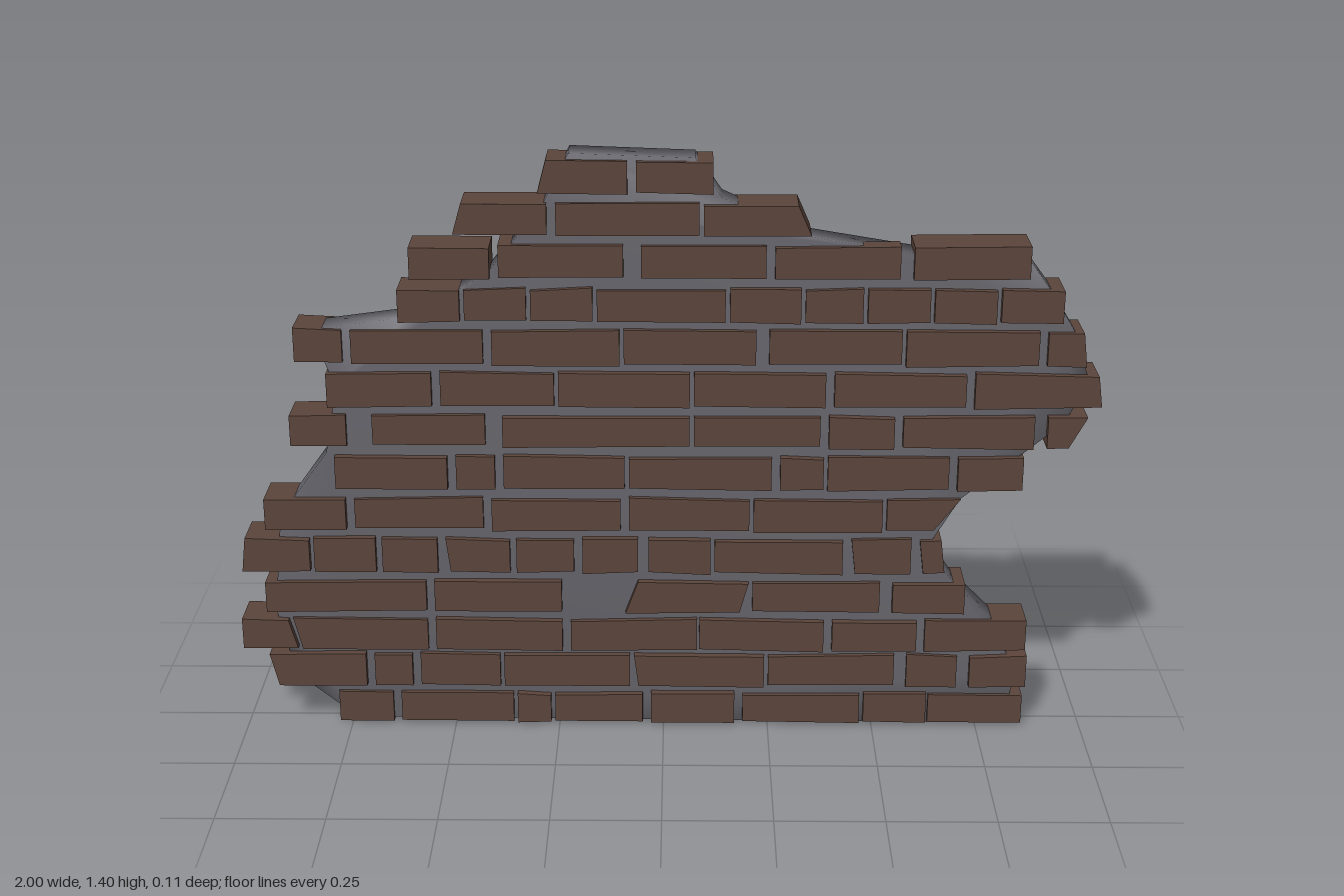
import * as THREE from 'three';
import { mergeVertices } from 'three/addons/utils/BufferGeometryUtils.js';

export function createModel() {
  const wall = new THREE.Group();
  wall.name = 'brokenBrickWall';
  const brickMat = new THREE.MeshStandardMaterial({ color: 0x5c453c });
  brickMat.name = 'brown brick';
  const mortarMat = new THREE.MeshStandardMaterial({ color: 0x66666d });
  mortarMat.name = 'grey mortar';

  // small seeded jitter in the range -1..1
  let seed = 7;
  const jitter = () => {
    seed = (seed * 16807) % 2147483647;
    return (seed / 2147483647) * 2 - 1;
  };

  // mortar core: broken outline with softly shaded surfaces
  const outline = [
    [-0.74, 0.015], [0.82, 0.005], [0.84, 0.14], [0.78, 0.28], [0.68, 0.38], [0.62, 0.47],
    [0.69, 0.59], [0.80, 0.68], [0.92, 0.78], [0.97, 0.88], [0.93, 1.0], [0.87, 1.1],
    [0.81, 1.18], [0.57, 1.18], [0.33, 1.22], [0.13, 1.31], [0.07, 1.4], [-0.21, 1.41],
    [-0.27, 1.29], [-0.4, 1.13], [-0.58, 1.03], [-0.80, 1.0], [-0.75, 0.86], [-0.78, 0.7],
    [-0.86, 0.59], [-0.9, 0.5], [-0.92, 0.3], [-0.88, 0.13]
  ].map(([x, y]) => new THREE.Vector2(x, y));
  let core = new THREE.ExtrudeGeometry(new THREE.Shape(outline), { depth: 0.074, bevelEnabled: false });
  core.translate(0, 0, -0.041);
  core.deleteAttribute('normal');
  core.deleteAttribute('uv');
  core = mergeVertices(core);
  core.clearGroups();
  core.computeVertexNormals();
  const mortar = new THREE.Mesh(core, mortarMat);
  mortar.name = 'mortarCore';
  wall.add(mortar);

  // one brick: slants move the lower corners, half bricks do not reach the back
  function brick(x0, x1, y0, y1, slantL, slantR, half) {
    const front = 0.047 + jitter() * 0.005;
    const back = half ? 0 : -0.054 + jitter() * 0.004;
    const j = [0, 1, 2, 3].map(() => jitter() * 0.004);
    const box = new THREE.BoxGeometry(1, 1, 1);
    const p = box.attributes.position;
    for (let i = 0; i < p.count; i++) {
      const right = p.getX(i) > 0, top = p.getY(i) > 0;
      const x = (right ? x1 : x0) + (top ? 0 : right ? slantR : slantL);
      const y = (top ? y1 : y0) + j[(right ? 1 : 0) + (top ? 2 : 0)];
      p.setXYZ(i, x, Math.max(y, 0), p.getZ(i) > 0 ? front : back);
    }
    const geo = box.toNonIndexed();
    geo.computeVertexNormals();
    const mesh = new THREE.Mesh(geo, brickMat);
    mesh.name = 'brick';
    return mesh;
  }

  // one course: bricks as [left, right, left slant, right slant, half], in hundredths
  let count = 0;
  function course(y0, y1, ...bricks) {
    const group = new THREE.Group();
    group.name = 'brickCourse' + ++count;
    for (const [a, b, l = 0, r = 0, half = 0] of bricks) {
      group.add(brick(a / 100, b / 100, y0, y1, l / 100, r / 100, half));
    }
    wall.add(group);
  }

  course(0.01, 0.085, [-78, -65], [-63, -36], [-35, -27], [-26, -5], [-3, 17], [19, 47], [48, 63], [63.5, 86]);
  course(0.108, 0.188, [-94, -71, 2], [-69, -60], [-58, -39], [-38, -8], [-7, 24, 1], [25, 55], [58, 70], [73, 86.5]);
  course(0.203, 0.28, [-100, -89, 0, 2], [-88, -56, 2], [-54, -24], [-22, 8], [8.5, 38, 0, 0, 1], [40, 60, 0, 0, 1], [62, 86]);
  course(0.302, 0.378, [-94, -56], [-54, -24], [-6, 20, -3, -2], [21, 51], [54, 71]);
  course(0.405, 0.488, [-98, -83, -1], [-82, -67.5], [-66, -53], [-51, -36, 1], [-34.5, -21], [-19, -6], [-3.5, 11],
    [12, 42, 0, 0, 1], [44, 58, 1, 0, 1], [60, 65, 1, 1]);
  course(0.512, 0.59, [-93, -74], [-72, -42], [-40, -10], [-8, 20], [21, 51], [52, 69, 0, -6]);
  course(0.615, 0.695, [-76, -50, 0, 0, 1], [-48, -39], [-37, -9], [-8, 25], [27, 37], [38, 66], [68, 83]);
  course(0.722, 0.797, [-86, -73], [-67, -41, 0, 0, 1], [-37, 6], [7, 36], [38, 53], [55, 85], [88, 97, 0, -4]);
  course(0.82, 0.9, [-77, -53], [-51, -25], [-24, 6], [7, 37], [39, 69], [71, 99, 0, 1]);
  course(0.922, 1.003, [-84, -73], [-71, -41], [-39, -10], [-9, 21], [24, 54], [55, 85], [87, 95, 0, 1]);
  course(1.023, 1.1, [-60, -46], [-45, -31, 0, 0, 1], [-30, -16], [-15, 14, 0, 0, 1], [15, 31, 0, 0, 1],
    [32, 45, 0, 0, 1], [46, 60], [61, 75], [76, 90]);
  course(1.127, 1.2, [-57, -39], [-37, -9], [-5, 23], [25, 53, 0, 0, 1], [56, 82]);
  course(1.227, 1.297, [-45, -26, -2], [-24, 8], [9, 30, 0, 3]);
  course(1.322, 1.395, [-26, -8, -2], [-6, 11]);

  return wall;
}
